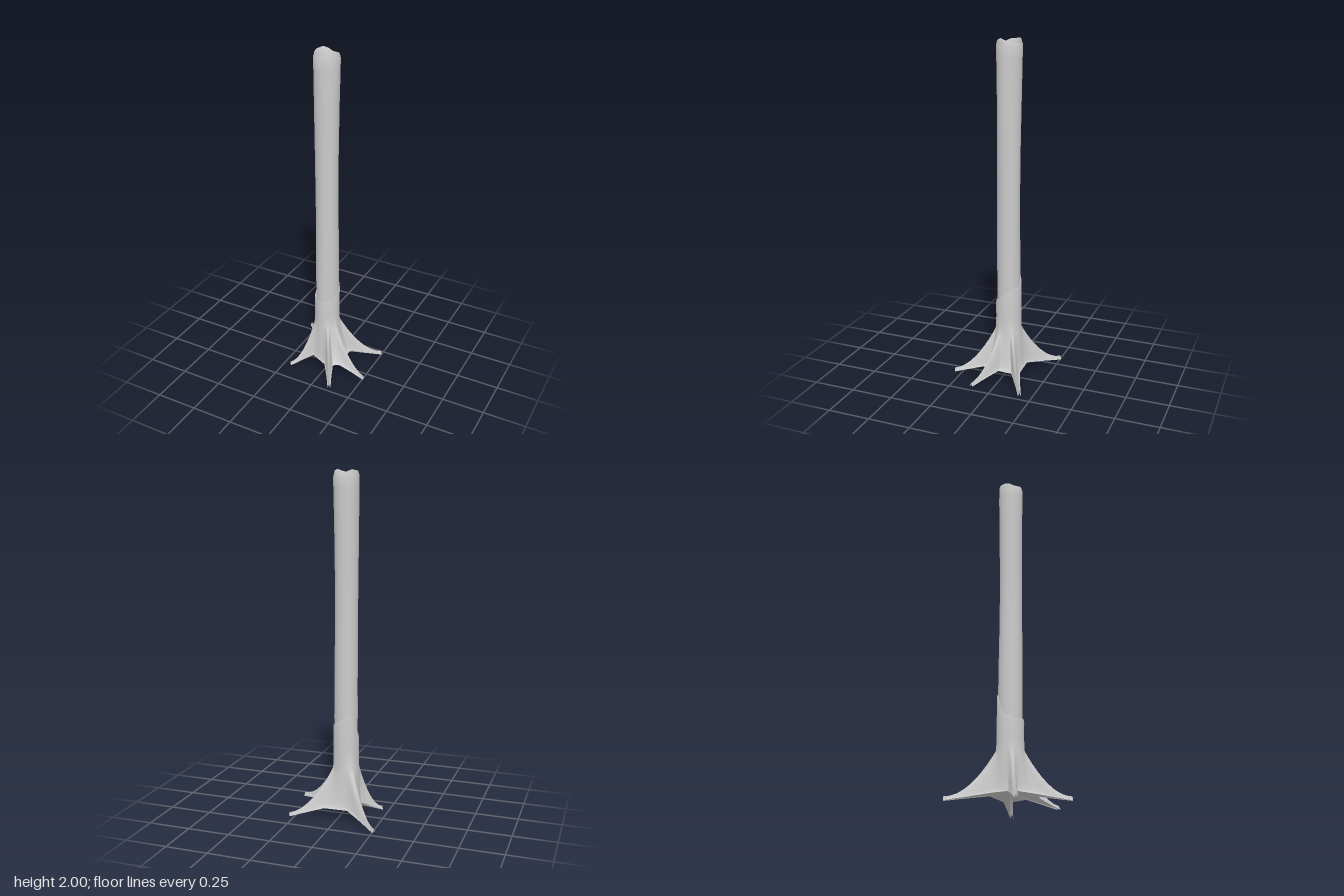
import * as THREE from 'three';
import { toCreasedNormals } from 'three/addons/utils/BufferGeometryUtils.js';

const CX = -0.03, CZ = -0.017; // trunk axis
const lerp = THREE.MathUtils.lerp;

// Skin a list of equally long closed rings of Vector3
function loft(rings, crease) {
  const n = rings[0].length, index = [];
  for (let i = 0; i < rings.length - 1; i++) {
    for (let j = 0; j < n; j++) {
      const k = (j + 1) % n;
      const a = i * n + j, b = i * n + k, c = a + n, d = b + n;
      index.push(a, b, c, b, d, c);
    }
  }
  const geo = new THREE.BufferGeometry().setFromPoints(rings.flat());
  geo.setIndex(index);
  return toCreasedNormals(geo, crease);
}

const polar = (a, r, y) => new THREE.Vector3(CX + r * Math.cos(a), y, CZ + r * Math.sin(a));

// Hollow trunk: from the floor of the hollow, over the wavy rim and down the outside
function trunkGeometry() {
  const profile = [ // radius, height, share of the rim wave
    [0, 1.83, 0], [0.03, 1.835, 0], [0.05, 1.86, 0], [0.054, 1.92, 0.3], [0.06, 1.975, 1],
    [0.066, 1.985, 1], [0.072, 1.965, 0.8], [0.072, 1.9, 0], [0.069, 1.7, 0], [0.066, 1.4, 0],
    [0.065, 1.1, 0], [0.067, 0.8, 0], [0.068, 0.6, 0], [0.066, 0.4, 0], [0.06, 0.2, 0],
  ];
  const sides = 16;
  return loft(profile.map(([r, y, w]) => Array.from({ length: sides }, (_, j) => {
    const a = (j / sides) * Math.PI * 2;
    const wave = 0.013 * w * Math.sin(2 * a + 0.6) + 0.004 * w * Math.sin(5 * a);
    const bumps = 1 + 0.025 * Math.sin(3 * a + y * 4);
    return polar(a, r * bumps, y + wave);
  })), 0.8);
}

// Roots in order round the trunk: foot before, tip (x, y, z), foot after
const ROOTS = [
  { from: [0.095, 0.0], tip: [0.277, 0.04, 0.097], to: [0.105, 0.08] },
  { from: [0.07, 0.10], tip: [0.131, 0.038, 0.265], to: [0.02, 0.115] },
  { from: [-0.085, 0.065], tip: [-0.208, 0.0, 0.136], to: [-0.112, 0.025] },
  { from: [-0.13, -0.07], tip: [-0.278, 0.025, -0.266], to: [-0.07, -0.12] },
  { from: [0.07, -0.127], tip: [0.258, 0.025, -0.196], to: [0.10, -0.085] },
];
const FOOT_Y = 0.07;

// Ragged upper edge of the bark collar, every 45 degrees from +x towards +z
const COLLAR = [0.54, 0.49, 0.475, 0.475, 0.5, 0.63, 0.6, 0.57];
function collarHeight(a) {
  const t = (((a / (Math.PI / 4)) % 8) + 8) % 8, i = Math.floor(t);
  return lerp(COLLAR[i], COLLAR[(i + 1) % 8], t - i);
}

// Star-shaped ground outline; each point carries its angle on the trunk
function outline() {
  const points = [];
  const angleOf = ([x, z]) => Math.atan2(z - CZ, x - CX);
  const after = (a, ref) => { while (a < ref) a += Math.PI * 2; return a; };
  ROOTS.forEach(({ from, tip, to }, i) => {
    const a0 = angleOf(from), a1 = after(angleOf(to), a0);
    const foot0 = new THREE.Vector3(from[0], FOOT_Y, from[1]);
    const foot1 = new THREE.Vector3(to[0], FOOT_Y, to[1]);
    const end = new THREE.Vector3(...tip);
    const side = new THREE.Vector3().subVectors(foot1, foot0).setLength(0.009);
    const mid = foot0.clone().add(foot1).multiplyScalar(0.5).lerp(end, 0.5);
    const end0 = end.clone().sub(side), end1 = end.clone().add(side);
    [
      foot0,
      foot0.clone().lerp(end0, 0.5).lerp(mid, 0.12),
      end0,
      end.clone().setY(tip[1] + 0.022),
      end1,
      foot1.clone().lerp(end1, 0.5).lerp(mid, 0.12),
      foot1,
    ].forEach((p, j) => points.push({ p, a: lerp(a0, a1, j / 6) }));
    // Gap up to the next root
    const next = ROOTS[(i + 1) % ROOTS.length].from;
    const a2 = after(angleOf(next), a1);
    for (const t of [1 / 3, 2 / 3]) {
      const p = foot1.clone().lerp(new THREE.Vector3(next[0], FOOT_Y, next[1]), t);
      points.push({ p, a: lerp(a1, a2, t) });
    }
  });
  return points;
}

// Root base: collar lip, bark sleeve, flare out along the roots, closed underside
function rootGeometry() {
  const cols = outline(), top = 0.31, r0 = 0.076;
  const rings = [
    cols.map(({ a }) => polar(a, 0.064, collarHeight(a) - 0.008)),
    cols.map(({ a }) => polar(a, 0.073, collarHeight(a))),
    cols.map(({ a }) => polar(a, 0.075, collarHeight(a) - 0.02)),
    cols.map(({ a }) => polar(a, 0.074, lerp(collarHeight(a), top, 0.6))),
  ];
  const steps = 9;
  for (let s = 0; s <= steps; s++) {
    const u = (s / steps) ** 1.2;
    rings.push(cols.map(({ p, a }) => {
      const v = polar(a, r0, top).lerp(p, u);
      v.y = p.y + (top - p.y) * (1 - u) ** 1.9;
      return v;
    }));
  }
  rings.push(cols.map(() => new THREE.Vector3(CX, FOOT_Y + 0.01, CZ)));
  return loft(rings, 0.9);
}

export function createModel() {
  const group = new THREE.Group();
  group.name = 'treeTrunk';
  const bark = new THREE.MeshStandardMaterial({ color: 0xcccccc });
  const add = (name, geometry) => {
    const mesh = new THREE.Mesh(geometry, bark);
    mesh.name = name;
    group.add(mesh);
  };
  add('hollowTrunk', trunkGeometry());
  add('rootBase', rootGeometry());
  return group;
}
